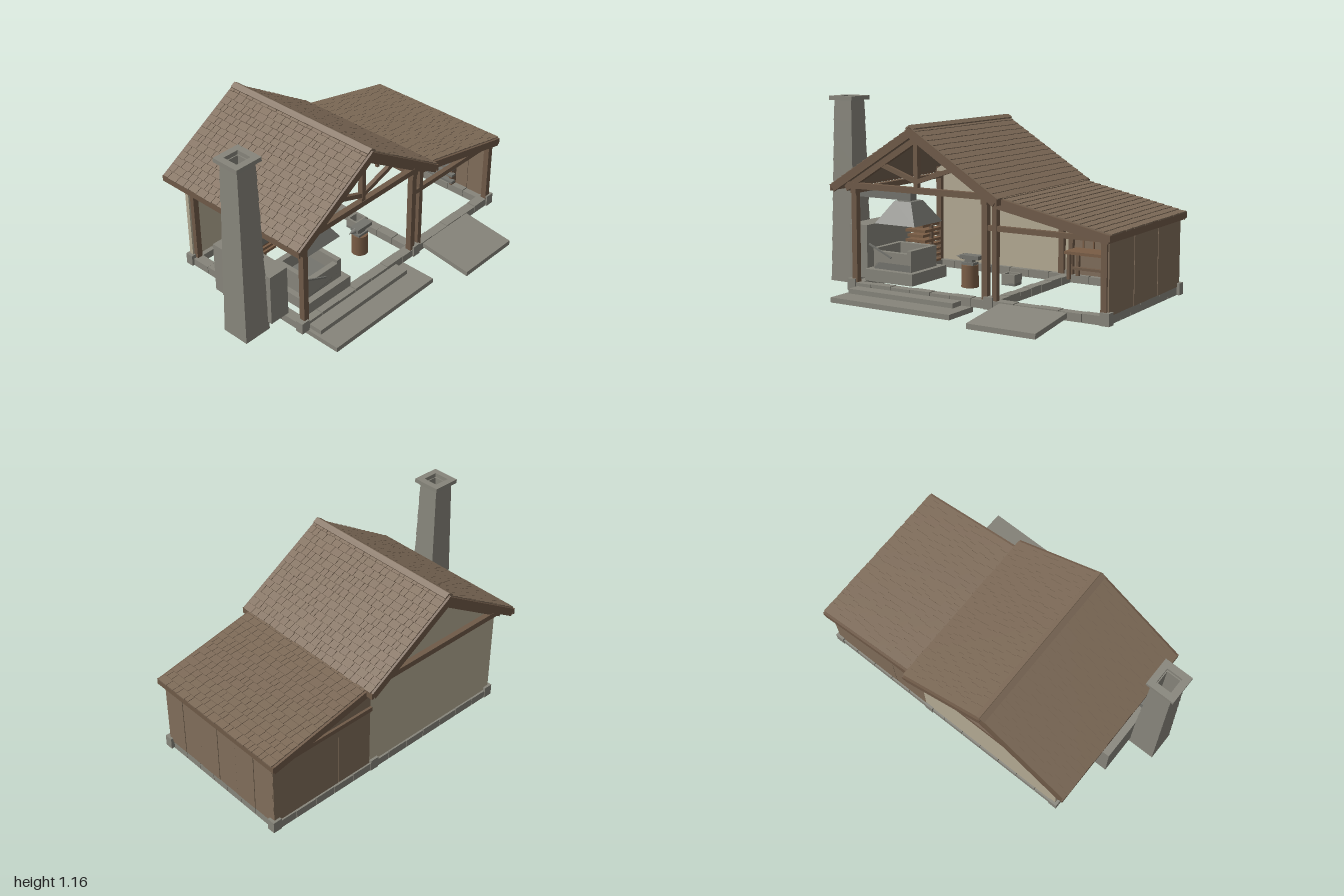
import * as THREE from 'three';
import { mergeGeometries } from 'three/addons/utils/BufferGeometryUtils.js';

const mat = (name, color) => { const m = new THREE.MeshStandardMaterial({ color }); m.name = name; return m; };

export function createModel() {
  const shingle = mat('shingle brown', 0x7d6a57), board = mat('board brown', 0x806d5a);
  const timber = mat('timber brown', 0x6f5a48), stone = mat('stone grey', 0x87857b);
  const plaster = mat('plaster cream', 0xb5ab94), iron = mat('iron grey', 0x74746e), log = mat('log brown', 0x7a5d45);
  const model = new THREE.Group();
  model.name = 'smithy';
  let seed = 7;
  const rand = () => (seed = (seed * 16807) % 2147483647) / 2147483647;

  const group = (name) => { const g = new THREE.Group(); g.name = name; model.add(g); return g; };
  const add = (parent, name, geo, material) => {
    const m = new THREE.Mesh(geo, material); m.name = name; parent.add(m); return m;
  };
  // box geometry given by its limits
  const boxGeo = (x0, x1, y0, y1, z0, z1) =>
    new THREE.BoxGeometry(x1 - x0, y1 - y0, z1 - z0).translate((x0 + x1) / 2, (y0 + y1) / 2, (z0 + z1) / 2);
  const box = (p, name, m, ...b) => add(p, name, boxGeo(...b), m);
  // sloped beam in the xy plane, its centre line running between two points
  const beamGeo = (x0, y0, x1, y1, t, z0, z1) =>
    new THREE.BoxGeometry(Math.hypot(x1 - x0, y1 - y0), t, z1 - z0)
      .rotateZ(Math.atan2(y1 - y0, x1 - x0)).translate((x0 + x1) / 2, (y0 + y1) / 2, (z0 + z1) / 2);
  const beam = (p, name, m, ...b) => add(p, name, beamGeo(...b), m);
  const panel = (p, name, m, pts, z, depth) => add(p, name, new THREE.ExtrudeGeometry(
    new THREE.Shape(pts.map(([x, y]) => new THREE.Vector2(x, y))), { depth, bevelEnabled: false }).translate(0, 0, z), m);
  // square ring or frustum turned from a profile of [half width, y]
  const square = (p, name, m, pts, x, z) => {
    const g = new THREE.LatheGeometry(pts.map(([h, y]) => new THREE.Vector2(h * Math.SQRT2, y)), 4)
      .rotateY(Math.PI / 4).toNonIndexed();
    g.computeVertexNormals();
    return add(p, name, g.translate(x, 0, z), m);
  };

  // stone sill laid block by block, with corner stones
  const base = group('foundation');
  const sillX = (z) => {
    for (let i = 0; i < 12; i++) {
      const x = -0.71 + i * 0.1388;
      box(base, 'sillStone', stone, x + 0.002, x + 0.137, 0.03, 0.077 + (i % 2) * 0.003, z - 0.03, z + 0.03);
    }
  };
  const sillZ = (x) => {
    for (let i = 0; i < 7; i++) {
      const z = -0.56 + i * 0.1215;
      box(base, 'sillStone', stone, x - 0.03, x + 0.03, 0.03, 0.077 + (i % 2) * 0.003, z + 0.002, z + 0.12);
    }
  };
  [0.305, -0.575].forEach(sillX);
  [-0.695, 0.245, 0.935].forEach(sillZ);
  for (const z of [0.32, -0.585]) for (const x of [-0.71, 0.24, 0.955])
    box(base, 'cornerStone', stone, x - 0.028, x + 0.028, 0.03, 0.1, z - 0.025, z + 0.025);
  box(base, 'lowerStep', stone, -0.69, 0.13, 0, 0.03, 0.32, 0.56);
  box(base, 'upperStep', stone, -0.67, 0.06, 0.03, 0.058, 0.32, 0.42);
  const ramp = new THREE.Shape([[-0.67, 0], [-0.32, 0.046], [-0.32, 0.075], [-0.67, 0.03]].map((p) => new THREE.Vector2(...p)));
  add(base, 'ramp', new THREE.ExtrudeGeometry(ramp, { depth: 0.42, bevelEnabled: false })
    .rotateY(Math.PI / 2).translate(0.31, 0, 0), stone);

  // walls
  const walls = group('walls');
  panel(walls, 'plasterBackWall', plaster,
    [[-0.72, 0.08], [0.27, 0.08], [0.27, 0.66], [-0.24, 0.98], [-0.72, 0.665]], -0.595, 0.025);
  panel(walls, 'sideRoomBackWallA', board, [[0.27, 0.08], [0.5, 0.08], [0.5, 0.585], [0.27, 0.64]], -0.595, 0.025);
  panel(walls, 'sideRoomBackWallB', board, [[0.503, 0.08], [0.965, 0.08], [0.965, 0.485], [0.503, 0.585]], -0.595, 0.025);
  for (let i = 0; i < 6; i++) {
    const z = -0.59 + i * 0.152;
    box(walls, 'sideBoard', board, 0.945, 0.966 + (i % 2) * 0.002, 0.077, 0.48, z + 0.001, z + 0.15);
  }

  // posts, plates and trusses
  const frame = group('timberFrame');
  for (const z of [0.315, -0.56]) {
    for (const x of [-0.69, 0.21]) box(frame, 'mainPost', timber, x - 0.018, x + 0.018, 0.08, 0.65, z - 0.018, z + 0.018);
    box(frame, 'innerPost', timber, 0.26, 0.29, 0.08, 0.62, z - 0.016, z + 0.016);
    box(frame, 'cornerPost', timber, 0.925, 0.96, 0.08, 0.48, z - 0.018, z + 0.018);
    box(frame, 'sideRoomTie', timber, 0.23, 0.96, 0.468, 0.497, z - 0.015, z + 0.015);
    beam(frame, 'sideRoomRafter', timber, 0.27, 0.61, 0.96, 0.475, 0.03, z - 0.016, z + 0.016);
  }
  for (const z of [0.33, -0.61]) {
    box(frame, 'tieBeam', timber, -0.74, 0.26, 0.638, 0.672, z - 0.018, z + 0.018);
    for (const s of [-1, 1]) beam(frame, 'rafter', timber, -0.24, 0.945, -0.24 + s * 0.5, 0.635, 0.035, z - 0.016, z + 0.016);
  }
  box(frame, 'kingPost', timber, -0.254, -0.226, 0.67, 0.95, 0.315, 0.345);
  for (const s of [-1, 1]) beam(frame, 'strut', timber, -0.24, 0.705, -0.24 + s * 0.25, 0.79, 0.026, 0.318, 0.342);
  for (const x of [-0.69, 0.21]) box(frame, 'wallPlate', timber, x - 0.02, x + 0.02, 0.61, 0.642, -0.6, 0.34);
  box(frame, 'sideWallPlate', timber, 0.93, 0.972, 0.465, 0.497, -0.62, 0.35);
  box(frame, 'backSideTrim', timber, 0.27, 0.96, 0.47, 0.497, -0.61, -0.59);

  // roof slope: deck, bargeboards and overlapping shingles, from the top edge to the eave
  const roof = group('roof');
  const slope = (name, x0, y0, x1, y1, z0, z1, rows) => {
    const a = Math.atan2(y1 - y0, x1 - x0), len = Math.hypot(x1 - x0, y1 - y0);
    const s = Math.sign(x1 - x0), tx = (x1 - x0) / len, ty = (y1 - y0) / len, nx = -ty * s, ny = tx * s;
    const off = (d) => [x0 + nx * d, y0 + ny * d, x1 + nx * d, y1 + ny * d];
    beam(roof, name + 'Deck', shingle, ...off(-0.02), 0.022, z0 + 0.004, z1 - 0.004);
    for (const z of [z0, z1 - 0.014]) beam(roof, name + 'Bargeboard', timber, ...off(-0.03), 0.046, z, z + 0.014);
    add(roof, name + 'EaveBoard', new THREE.BoxGeometry(0.014, 0.036, z1 - z0)
      .translate(x1 - s * 0.007, y1 - 0.022, (z0 + z1) / 2), timber);
    const parts = [], step = len / rows;
    for (let r = 0; r < rows; r++) {
      let z = z0 + 0.012;
      while (z < z1 - 0.013) {
        let e = z + 0.03 + rand() * 0.045;
        if (e > z1 - 0.03) e = z1 - 0.012;
        const d = (r + 0.5) * step, j = (rand() - 0.5) * 0.004;
        parts.push(new THREE.BoxGeometry(step * 1.06, 0.009, e - z - 0.003).rotateZ(a + s * 0.1)
          .translate(x0 + tx * (d + j) - nx * 0.005, y0 + ty * (d + j) - ny * 0.005, (z + e) / 2));
        z = e;
      }
    }
    add(roof, name + 'Shingles', mergeGeometries(parts), shingle);
  };
  slope('leftRoof', -0.24, 1.02, -0.81, 0.665, -0.67, 0.405, 15);
  slope('rightRoof', -0.24, 1.02, 0.335, 0.66, -0.67, 0.405, 15);
  slope('sideRoof', 0.3, 0.665, 0.99, 0.517, -0.63, 0.36, 15);
  for (const s of [-1, 1]) beam(roof, 'ridgeCap', shingle, -0.24, 1.026, -0.24 + s * 0.028, 1.008, 0.01, -0.66, 0.397);

  // chimney of stepped hollow courses
  const chimney = group('chimney');
  const cx = -0.91, cz = 0.085;
  for (let i = 0; i < 9; i++) {
    const y0 = 0.03 + i * 0.1228, y1 = y0 + 0.1228, h = 0.089 - i * 0.0026;
    square(chimney, 'chimneyCourse', stone, [[0.042, y0], [h, y0], [h - 0.005, y1], [0.042, y1], [0.042, y0]], cx, cz);
  }
  square(chimney, 'chimneyCap', stone, [[0.048, 1.135], [0.087, 1.135], [0.087, 1.16], [0.048, 1.16], [0.048, 1.135]], cx, cz);
  box(chimney, 'chimneyBreast', stone, -0.83, -0.7, 0.08, 0.4, -0.25, 0.2);
  box(chimney, 'flue', iron, -0.86, -0.44, 0.555, 0.61, 0.055, 0.115);

  // forge hearth under its hood
  const forge = group('forge');
  box(forge, 'hearthBase', stone, -0.64, -0.3, 0.09, 0.16, -0.05, 0.3);
  box(forge, 'hearthBed', iron, -0.6, -0.34, 0.16, 0.2, 0, 0.26);
  box(forge, 'hearthBack', stone, -0.6, -0.34, 0.16, 0.285, 0, 0.035);
  box(forge, 'hearthFront', stone, -0.6, -0.36, 0.16, 0.265, 0.225, 0.26);
  box(forge, 'hearthSideLeft', stone, -0.365, -0.335, 0.16, 0.285, 0, 0.26);
  box(forge, 'hearthSideRight', stone, -0.605, -0.575, 0.16, 0.285, 0, 0.26);
  square(forge, 'hood', iron, [[0.128, 0.425], [0.143, 0.425], [0.06, 0.555], [0, 0.555], [0, 0.545], [0.05, 0.545], [0.128, 0.425]], -0.465, 0.1);
  beam(forge, 'poker', iron, -0.63, 0.305, -0.47, 0.235, 0.009, 0.265, 0.275);

  // bellows of stacked boards, and a low wood rack
  const bellows = group('bellows');
  for (let i = 0; i < 4; i++)
    box(bellows, 'bellowsBoard', log, -0.635 + (i % 2) * 0.015, -0.49 - (i % 2) * 0.015, 0.265 + i * 0.031, 0.282 + i * 0.031, -0.28, -0.1);
  for (const x of [-0.62, -0.515]) box(bellows, 'bellowsLeg', timber, x, x + 0.02, 0.08, 0.37, -0.2, -0.18);
  for (let i = 0; i < 4; i++)
    box(bellows, 'rackShelf', log, -0.67, -0.59, 0.1 + i * 0.035, 0.115 + i * 0.035, -0.42, -0.26);
  for (const z of [-0.41, -0.28]) box(bellows, 'rackPost', timber, -0.64, -0.62, 0.08, 0.22, z, z + 0.014);

  // anvil on its stump
  const anvil = group('anvil');
  add(anvil, 'stump', new THREE.CylinderGeometry(0.049, 0.051, 0.13, 12).translate(-0.02, 0.155, 0.12), log);
  box(anvil, 'anvilFoot', iron, -0.06, 0.02, 0.22, 0.235, 0.09, 0.15);
  box(anvil, 'anvilWaist', iron, -0.045, 0.005, 0.235, 0.255, 0.1, 0.14);
  box(anvil, 'anvilFace', iron, -0.07, 0.055, 0.255, 0.277, 0.09, 0.15);
  add(anvil, 'anvilHorn', new THREE.ConeGeometry(0.018, 0.05, 8).rotateZ(Math.PI / 2).translate(-0.09, 0.262, 0.12), iron);

  // open quench trough
  const trough = group('trough');
  box(trough, 'troughFloor', iron, 0.105, 0.195, 0.09, 0.105, -0.1, -0.02);
  for (const x of [0.105, 0.183]) box(trough, 'troughEnd', stone, x, x + 0.012, 0.09, 0.155, -0.1, -0.02);
  for (const z of [-0.1, -0.032]) box(trough, 'troughSide', stone, 0.105, 0.195, 0.09, 0.155, z, z + 0.012);

  // workbench with standing hammers
  const bench = group('workbench');
  box(bench, 'benchTop', log, 0.31, 0.77, 0.232, 0.25, -0.55, -0.4);
  box(bench, 'benchRail', timber, 0.33, 0.75, 0.13, 0.145, -0.49, -0.46);
  for (const x of [0.325, 0.735]) for (const z of [-0.54, -0.425])
    box(bench, 'benchLeg', timber, x, x + 0.02, 0.08, 0.232, z, z + 0.02);
  [0.36, 0.43, 0.505, 0.58, 0.65].forEach((x, i) => {
    const top = 0.34 + (i % 2) * 0.022;
    box(bench, 'toolHandle', log, x - 0.004, x + 0.004, 0.25, top, -0.555, -0.547);
    box(bench, 'toolHead', iron, x - 0.018, x + 0.018, top, top + 0.012, -0.56, -0.542);
  });

  // tool rack on the side wall
  const rack = group('wallRack');
  for (const z of [-0.2, 0.06]) box(rack, 'wallRackPost', timber, 0.9, 0.945, 0.08, 0.32, z, z + 0.02);
  for (let i = 0; i < 4; i++) box(rack, 'wallRackBar', iron, 0.875, 0.91, 0.11 + i * 0.05, 0.125 + i * 0.05, -0.22, 0.1);
  return model;
}
